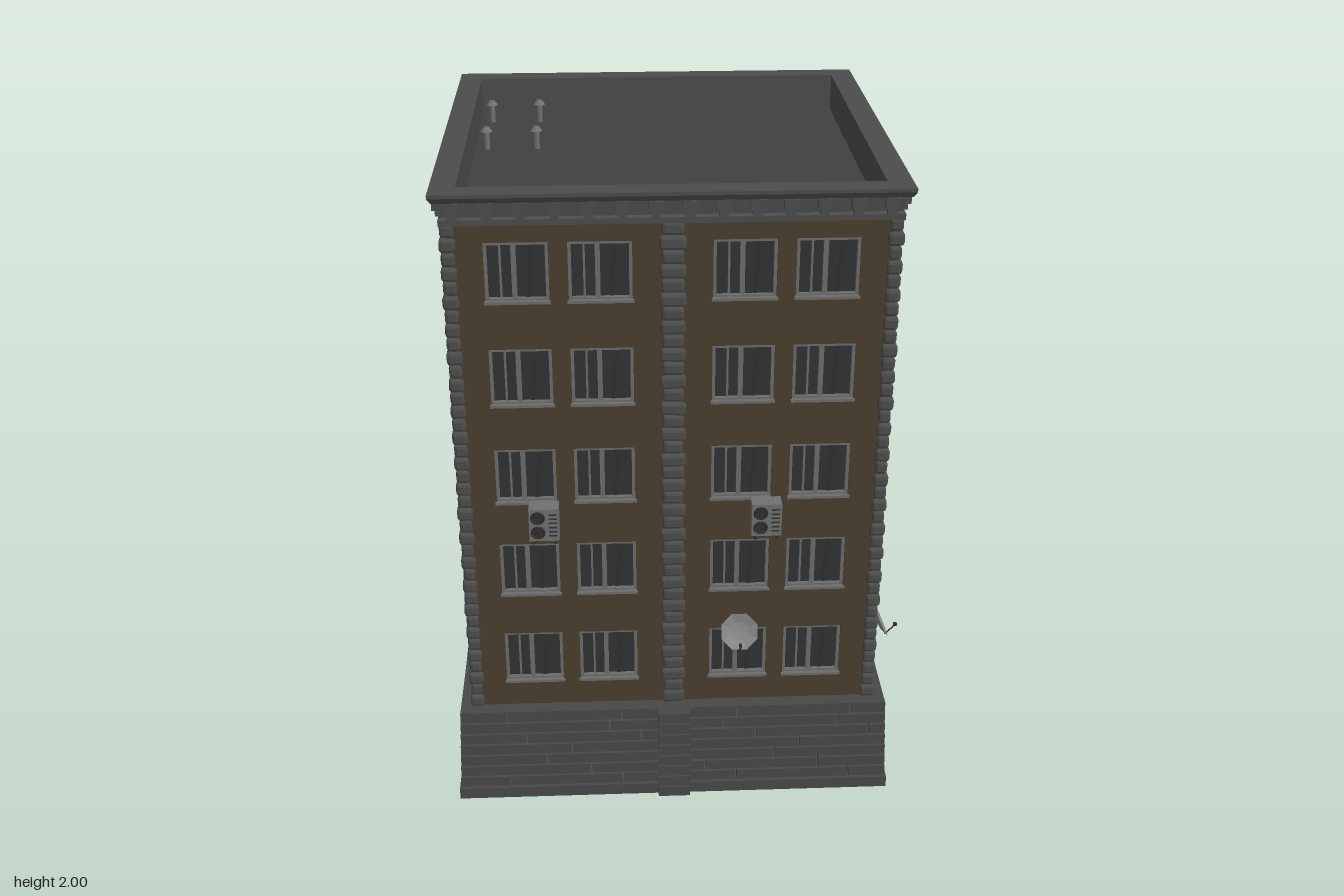
import * as THREE from 'three';
import { RoundedBoxGeometry } from 'three/addons/geometries/RoundedBoxGeometry.js';

const HX = 0.622, HZ = 0.612;          // half sizes of the brick body
const BASE = 0.32, EAVES = 1.91;       // top of plinth storey, underside of cornice
const FLOORS = [0.497, 0.814, 1.131, 1.448, 1.765];
const WIN_H = 0.175;

const mat = (color, side = THREE.FrontSide) => new THREE.MeshStandardMaterial({ color, side, flatShading: true });
const M = {
  wall: mat(0x4a3f2e), slab: mat(0x40362a), stone: mat(0x484848), trim: mat(0x4c4c4c),
  roof: mat(0x404040), plaster: mat(0x585858), frame: mat(0x6c6c6c), glass: mat(0x303234),
  metal: mat(0x707070), dark: mat(0x303030), dish: mat(0x858585, THREE.DoubleSide),
};

let seed = 7;
const rnd = () => (seed = (seed * 16807) % 2147483647) / 2147483647;

function mesh(parent, name, geo, material, x = 0, y = 0, z = 0) {
  const m = new THREE.Mesh(geo, material);
  m.name = name;
  m.position.set(x, y, z);
  parent.add(m);
  return m;
}
const box = (p, name, m, w, h, d, x, y, z) => mesh(p, name, new THREE.BoxGeometry(w, h, d), m, x, y, z);

function group(parent, name, x = 0, y = 0, z = 0) {
  const g = new THREE.Group();
  g.name = name;
  g.position.set(x, y, z);
  parent.add(g);
  return g;
}

function rod(p, name, a, b, r, m) {
  const A = new THREE.Vector3(...a), B = new THREE.Vector3(...b), d = B.clone().sub(A);
  const o = mesh(p, name, new THREE.CylinderGeometry(r, r, d.length(), 5), m);
  o.position.copy(A).addScaledVector(d, 0.5);
  o.quaternion.setFromUnitVectors(new THREE.Vector3(0, 1, 0), d.normalize());
}

// Rectangular loft: each profile point is [offset from wall, height]
function rectLoft(profile) {
  const pos = [], idx = [];
  for (const [o, y] of profile)
    for (const [sx, sz] of [[1, 1], [1, -1], [-1, -1], [-1, 1]]) pos.push(sx * (HX + o), y, sz * (HZ + o));
  for (let i = 0; i < profile.length - 1; i++)
    for (let j = 0; j < 4; j++) {
      const a = i * 4 + j, b = i * 4 + (j + 1) % 4;
      idx.push(a, b, b + 4, a, b + 4, a + 4);
    }
  const g = new THREE.BufferGeometry();
  g.setAttribute('position', new THREE.Float32BufferAttribute(pos, 3));
  g.setIndex(idx);
  const flat = g.toNonIndexed();
  flat.computeVertexNormals();
  return flat;
}

function rectPath(T, w, h, x, y) {
  const s = new T();
  s.moveTo(x - w / 2, y - h / 2); s.lineTo(x + w / 2, y - h / 2);
  s.lineTo(x + w / 2, y + h / 2); s.lineTo(x - w / 2, y + h / 2);
  s.closePath();
  return s;
}

// Window set into its opening: frame, mullion, glass, curtain and sill
function addWindow(p, w, x, y) {
  const g = group(p, 'window', x, y, 0), h = WIN_H;
  const s = rectPath(THREE.Shape, w, h, 0, 0);
  s.holes.push(rectPath(THREE.Path, w - 0.018, h - 0.018, 0, 0));
  mesh(g, 'windowFrame', new THREE.ExtrudeGeometry(s, { depth: 0.014, bevelEnabled: false }), M.frame, 0, 0, -0.02);
  box(g, 'windowGlass', M.glass, w, h, 0.004, 0, 0, -0.022);
  box(g, 'mullion', M.frame, 0.014, h - 0.016, 0.012, -0.04 * w, 0, -0.014);
  box(g, 'sashBar', M.frame, 0.006, h - 0.016, 0.008, -0.25 * w, 0, -0.016);
  box(g, 'curtain', M.dark, 0.012, h * 0.85, 0.003, 0.2 * w, -0.004, -0.018).rotation.z = -0.08;
  box(g, 'sill', M.frame, w + 0.008, 0.008, 0.03, 0, -h / 2, -0.007);
}

// Staggered stone courses; ranges(row) lists the [start, end] spans to fill
function addCourses(p, L, ranges) {
  for (let r = 0; r < 7; r++) {
    const o = 0.055 - r * 0.0017, y = 0.06 + r * 0.04;
    for (let [a, b] of ranges(r)) {
      if (a <= -L) a = -L - o;
      if (b >= L) b = L + o;
      const cuts = [a];
      for (let x = -L + 0.1 + (r % 2) * 0.2 + (r % 3) * 0.06; x < b - 0.05; x += 0.36) if (x > a + 0.05) cuts.push(x);
      cuts.push(b);
      for (let i = 0; i + 1 < cuts.length; i++) {
        const e0 = i ? 0.003 : 0, e1 = i + 2 < cuts.length ? 0.003 : 0;
        const w = cuts[i + 1] - cuts[i] - e0 - e1;
        box(p, 'baseStone', M.stone, w, 0.034, o, cuts[i] + e0 + w / 2, y, o / 2);
      }
    }
  }
}

function addDoor(p, x) {
  const g = group(p, 'door', x, 0.12, 0.034);
  box(g, 'doorSurround', M.dark, 0.158, 0.24, 0.008, 0, 0, 0);
  box(g, 'doorLeaf', M.metal, 0.142, 0.225, 0.014, 0, -0.003, 0.002);
  box(g, 'doorWindow', M.glass, 0.045, 0.07, 0.004, 0, 0.05, 0.009);
  box(g, 'doorHandle', M.dark, 0.008, 0.025, 0.012, 0.055, -0.01, 0.012);
  box(g, 'lintel', M.stone, 0.17, 0.012, 0.02, -0.01, 0.16, 0);
}

function addAirConditioner(p, x, y) {
  const g = group(p, 'airConditioner', x, y, 0.04);
  box(g, 'casing', M.metal, 0.088, 0.105, 0.05, 0, 0, 0.005);
  for (const fy of [0.024, -0.024]) {
    const ring = mesh(g, 'fanRing', new THREE.TorusGeometry(0.019, 0.003, 4, 12), M.dark, -0.018, fy, 0.031);
    mesh(ring, 'fanHub', new THREE.CircleGeometry(0.016, 12), M.dark);
  }
  for (let i = 0; i < 6; i++) box(g, 'vent', M.dark, 0.024, 0.004, 0.002, 0.026, -0.035 + i * 0.014, 0.031);
  for (const s of [-1, 1]) box(g, 'wallBracket', M.dark, 0.008, 0.01, 0.072, s * 0.032, -0.058, -0.004);
}

function addDish(p, x, y) {
  const g = group(p, 'satelliteDish', x, y, 0);
  const pts = [[0, 0], [0.03, 0.004], [0.059, 0.015]].map(a => new THREE.Vector2(...a));
  mesh(g, 'reflector', new THREE.LatheGeometry(pts, 8, Math.PI / 8), M.dish, 0, 0, 0.07).rotation.x = Math.PI / 2 - 0.42;
  rod(g, 'mount', [0, -0.005, -0.01], [0, -0.005, 0.07], 0.004, M.dark);
  rod(g, 'strut', [0, -0.045, 0], [0, -0.005, 0.06], 0.003, M.dark);
  rod(g, 'feedArm', [0, -0.05, 0.1], [0, -0.012, 0.135], 0.0025, M.dark);
  box(g, 'feedHorn', M.dark, 0.008, 0.01, 0.012, 0, -0.012, 0.132);
}

// Column of rough stones
function addStones(p, name, x, z, w, d) {
  const n = 38, step = (EAVES - BASE) / n;
  for (let i = 0; i < n; i++) {
    const k = (i % 2 ? 0.86 : 1) + (rnd() - 0.5) * 0.12;
    const s = mesh(p, name, new RoundedBoxGeometry(w * k, step * 0.94, d * k, 1, 0.009), M.trim, x, BASE + (i + 0.5) * step, z);
    s.rotation.z = (rnd() - 0.5) * 0.12;
  }
}

// One elevation, built facing local +z with its wall surface at z = 0
function addSide(model, name, angle, L, D, columns, winW) {
  const pivot = group(model, name);
  pivot.rotation.y = angle;
  const g = group(pivot, name + 'Face', 0, 0, D);
  const s = rectPath(THREE.Shape, 2 * L, 1.92 - BASE, 0, (1.92 + BASE) / 2);
  for (const x of columns) for (const y of FLOORS) {
    s.holes.push(rectPath(THREE.Path, winW, WIN_H, x, y));
    addWindow(g, winW, x, y);
  }
  mesh(g, 'wall', new THREE.ExtrudeGeometry(s, { depth: 0.03, bevelEnabled: false }), M.wall, 0, 0, -0.03);
  box(g, 'baseWall', M.plaster, 2 * L + 0.06, BASE - 0.002, 0.06, 0, BASE / 2, 0);
  // cornice brackets
  for (let i = 0; i < 14; i++) {
    const x = (i - 6.5) * (2 * L / 13.6);
    box(g, 'corniceBracket', M.trim, 0.04, 0.03, 0.028, x, 1.958, 0.014);
    box(g, 'corniceBracketFoot', M.trim, 0.026, 0.02, 0.02, x, 1.935, 0.01);
  }
  return g;
}

function addPlinth(g, spans) {
  for (const [a, b] of spans) box(g, 'plinth', M.stone, b - a, 0.038, 0.075, (a + b) / 2, 0.019, 0.0235);
}

export function createModel() {
  const root = new THREE.Group();
  root.name = 'apartmentBlock';
  const body = group(root, 'building', -0.037, 0, -0.03);
  const cols = [-0.43, -0.2, 0.2, 0.43], pairs = [-0.49, -0.343, -0.075, 0.075, 0.343, 0.49];
  const front = addSide(body, 'front', 0, HX, HZ, cols, 0.177);
  const back = addSide(body, 'back', Math.PI, HX, HZ, cols, 0.177);
  const right = addSide(body, 'entranceSide', Math.PI / 2, HZ, HX, pairs, 0.113);
  const left = addSide(body, 'plainSide', -Math.PI / 2, HZ, HX, [-0.49, -0.343], 0.113);

  // Front and back: full stone base with a central stone pilaster
  for (const g of [front, back]) {
    addCourses(g, HX, () => [[-HX, HX]]);
    addPlinth(g, [[-HX - 0.061, HX + 0.061]]);
    for (let r = 0; r < 8; r++) box(g, 'pilasterBase', M.stone, 0.1, 0.036, 0.08 - r * 0.0017, 0, 0.02 + r * 0.04, 0.04);
    addStones(g, 'pilasterStone', 0, 0, 0.072, 0.034);
  }

  // Entrance side: broken stone facing, door and cellar windows
  const E = HZ + 0.061;
  addCourses(right, HZ, r => [[-HZ, -0.19], ...(r === 6 ? [[0.18, HZ]] : r === 4 ? [[0.31, 0.44], [0.56, HZ]] : [[0.56, HZ]])]);
  addPlinth(right, [[-E, -0.08], [0.08, E]]);
  addDoor(right, 0);
  for (const x of [0.3, 0.375, 0.45]) {
    box(right, 'cellarWindow', M.glass, 0.072, 0.115, 0.012, x, 0.1, 0.03);
    for (let i = -1; i < 2; i++) box(right, 'cellarBar', M.trim, 0.005, 0.115, 0.01, x + i * 0.024, 0.1, 0.036);
  }

  // Plain side: blank wall panel and second door
  addCourses(left, HZ, r => [[-HZ, -0.13], [0.1, HZ]]);
  addPlinth(left, [[-E, -0.08], [0.08, E]]);
  addDoor(left, 0);
  box(left, 'blankPanel', M.slab, 0.81, EAVES - BASE, 0.03, 0.185, (EAVES + BASE) / 2, -0.004);

  // Corner stones
  for (const sx of [-1, 1]) for (const sz of [-1, 1])
    addStones(body, 'cornerStone', sx * (HX - 0.009), sz * (HZ - 0.009), 0.044, 0.044);

  // Cornice, parapet and sunken roof
  mesh(body, 'cornice', rectLoft([[-0.03, 1.9], [0.012, 1.905], [0.012, 1.922], [0.005, 1.928], [0.008, 1.968],
    [0.026, 1.974], [0.035, 1.99], [0.035, 2], [-0.036, 2], [-0.036, 1.88]]), M.trim);
  box(body, 'roofDeck', M.roof, 2 * HX - 0.07, 0.02, 2 * HZ - 0.07, 0, 1.875, 0);
  mesh(body, 'baseLedge', rectLoft([[0.044, BASE - 0.008], [0.044, BASE], [-0.005, BASE]]), M.stone);

  // Roof vents
  for (const x of [-0.585, -0.43]) for (const z of [-0.495, -0.185]) {
    const v = group(root, 'roofVent', x, 1.885, z);
    mesh(v, 'ventPipe', new THREE.CylinderGeometry(0.009, 0.009, 0.06, 8), M.metal, 0, 0.03, 0);
    mesh(v, 'ventCap', new THREE.CylinderGeometry(0.008, 0.019, 0.014, 10), M.metal, 0, 0.064, 0);
  }

  // Fittings on the walls
  for (const x of [-0.38, 0.272]) addAirConditioner(front, x, 1.005);
  for (const [x, y] of [[-0.427, 1.615], [0.173, 1.615], [-0.337, 0.7]]) addAirConditioner(back, x, y);
  addAirConditioner(left, -0.556, 1.295);
  addDish(front, 0.197, 0.62);
  for (const [x, y] of [[0.462, 1.625], [-0.3, 0.385], [0.492, 0.375]]) addDish(right, x, y);
  return root;
}
